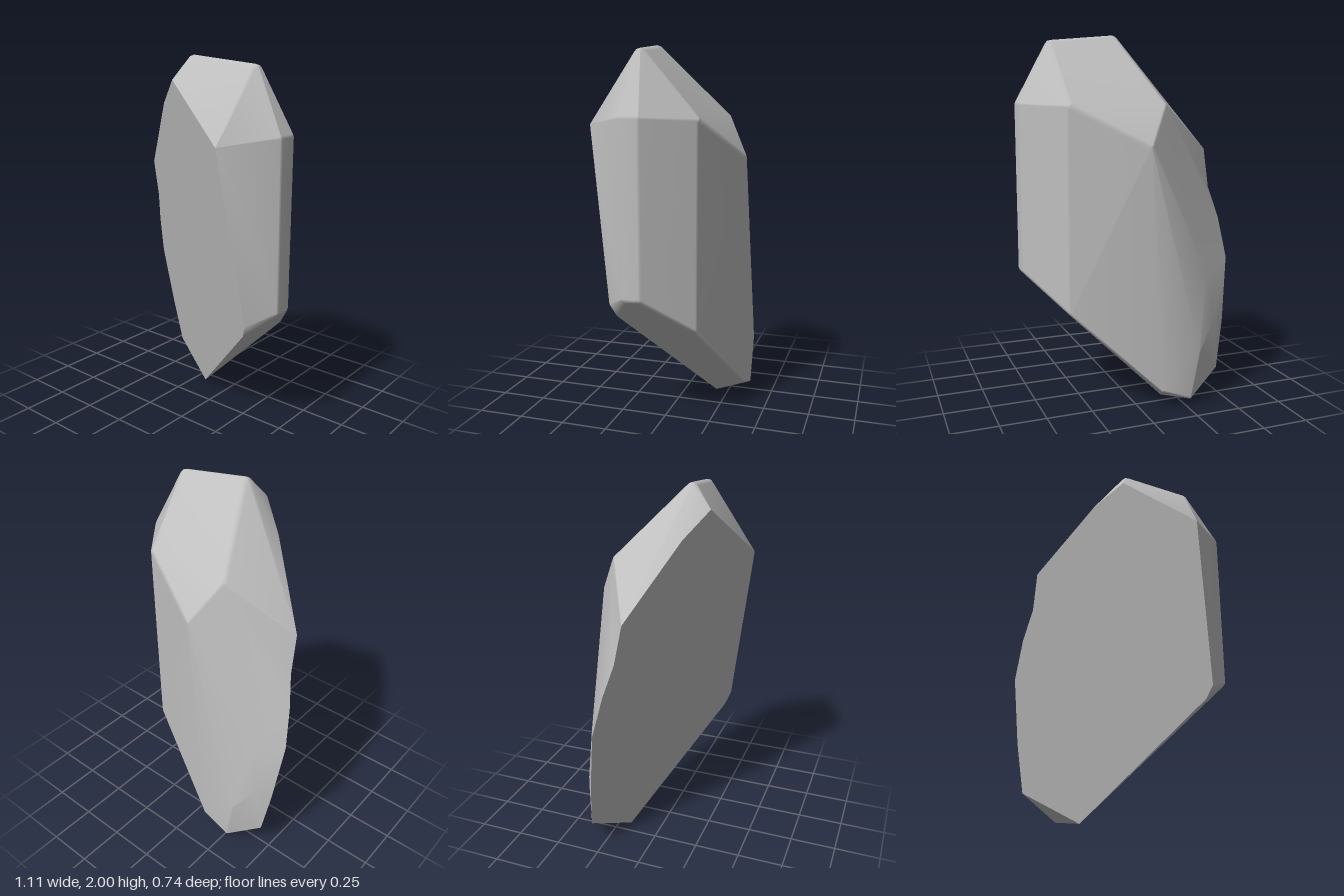
import * as THREE from 'three';
import { ConvexGeometry } from 'three/addons/geometries/ConvexGeometry.js';

// The cut front is one plane: z is a function of x and y
const cutZ = (x, y) => -0.093 + 0.489 * x + 0.187 * y;
const cutNormal = new THREE.Vector3(-0.489, -0.187, 1).normalize();

// Sharp outline of the cut: x, y, and how far the corner is worn inwards
const cutOutline = [
  [-0.05, 1.88, 0], [0.34, 1.59, 0], [0.43, 0.67, 0], [0.4, 0.6, 0], [-0.18, 0.005, 0],
  [-0.47, 0.17, 0], [-0.515, 0.43, 0], [-0.556, 0.78, 0], [-0.55, 1.0, 0.02],
  [-0.525, 1.17, 0.035], [-0.482, 1.38, 0], [-0.2, 1.75, 0],
];

// Rounded corners: x, y, z, radius
const softCorners = [
  [0, 2, 0.13, 0.035], [0.38, 1.955, 0.09, 0.035],
  [0.55, 1.63, 0.13, 0.03], [0.55, 1.63, 0.04, 0.03],
  [0.55, 0.74, 0.12, 0.03], [0.55, 0.74, 0.04, 0.03],
  [0.36, 1.62, -0.2, 0.035], [0.36, 0.55, -0.2, 0.03],
  [-0.17, 1.62, -0.25, 0.03], [-0.04, 1.41, -0.37, 0.025],
  [-0.12, 0.1, -0.36, 0.015], [-0.33, 0.3, -0.368, 0.015], [-0.28, 0.04, -0.36, 0.012],
];

// Chipped spots on the rough side: x, y, z, worn depth
const chips = [
  [-0.33, 1.22, -0.25, 0.03], [-0.4, 0.98, -0.26, 0.012],
  [-0.43, 0.72, -0.32, 0.035], [-0.45, 0.45, -0.32, 0.015],
];

// Normals averaged by area, only across edges softer than the crease angle
function softenNormals(positions, crease) {
  const faces = [], corners = new Map();
  const key = (v) => v.toArray().map((n) => Math.round(n * 1e4)).join();
  for (let i = 0; i < positions.length; i += 3) {
    const [a, b, c] = positions.slice(i, i + 3);
    const area = b.clone().sub(a).cross(c.clone().sub(a));
    const face = { area, unit: area.clone().normalize() };
    faces.push(face);
    for (const v of [a, b, c]) {
      if (!corners.has(key(v))) corners.set(key(v), []);
      corners.get(key(v)).push(face);
    }
  }
  return positions.map((v, i) => {
    const own = faces[Math.floor(i / 3)].unit;
    const sum = new THREE.Vector3();
    for (const f of corners.get(key(v))) if (f.unit.dot(own) > Math.cos(crease)) sum.add(f.area);
    return sum.lengthSq() > 0 ? sum.normalize() : own.clone();
  });
}

function toGeometry(positions, normals) {
  const g = new THREE.BufferGeometry().setFromPoints(positions);
  g.setAttribute('normal', new THREE.Float32BufferAttribute(normals.flatMap((n) => n.toArray()), 3));
  return g;
}

export function createModel() {
  const group = new THREE.Group();
  group.name = 'rock';
  const stone = new THREE.MeshStandardMaterial({ color: 0xc0c0c0 });
  stone.name = 'grey stone';

  // Collect the hull points
  const points = [], worn = [];
  const addSharp = (x, y, z, depth) => {
    const p = new THREE.Vector3(x, y, z);
    points.push(p);
    if (depth) worn.push({ p, depth });
  };
  for (const [x, y, depth] of cutOutline) addSharp(x, y, cutZ(x, y), depth);
  for (const c of chips) addSharp(...c);
  for (const [x, y, z, r] of softCorners) {
    const corner = new THREE.Vector3(x, y, z);
    const inward = new THREE.Vector3(0, THREE.MathUtils.clamp(y, 0.6, 1.5), 0).sub(corner).setLength(r);
    const ball = new THREE.IcosahedronGeometry(r, 1).getAttribute('position');
    const seen = new Set();
    for (let i = 0; i < ball.count; i++) {
      const p = new THREE.Vector3().fromBufferAttribute(ball, i);
      const id = p.toArray().map((n) => Math.round(n * 1e5)).join();
      if (seen.has(id)) continue;
      seen.add(id);
      points.push(p.add(corner).add(inward));
    }
  }

  // Wrap the points, wear the chips inwards, then part the cut from the body
  const hull = new ConvexGeometry(points).getAttribute('position');
  const body = [], cut = [];
  for (let i = 0; i < hull.count; i += 3) {
    const tri = [0, 1, 2].map((k) => new THREE.Vector3().fromBufferAttribute(hull, i + k));
    const normal = new THREE.Triangle(...tri).getNormal(new THREE.Vector3());
    for (const v of tri) {
      const w = worn.find(({ p }) => p.distanceTo(v) < 1e-4);
      if (w) v.add(new THREE.Vector3(w.depth, 0, 0.489 * w.depth));
    }
    (normal.dot(cutNormal) > 0.9995 ? cut : body).push(...tri);
  }

  const bodyMesh = new THREE.Mesh(toGeometry(body, softenNormals(body, 0.6)), stone);
  bodyMesh.name = 'rockBody';
  const cutMesh = new THREE.Mesh(toGeometry(cut, cut.map(() => cutNormal)), stone);
  cutMesh.name = 'flatCutFace';
  group.add(bodyMesh, cutMesh);
  return group;
}
